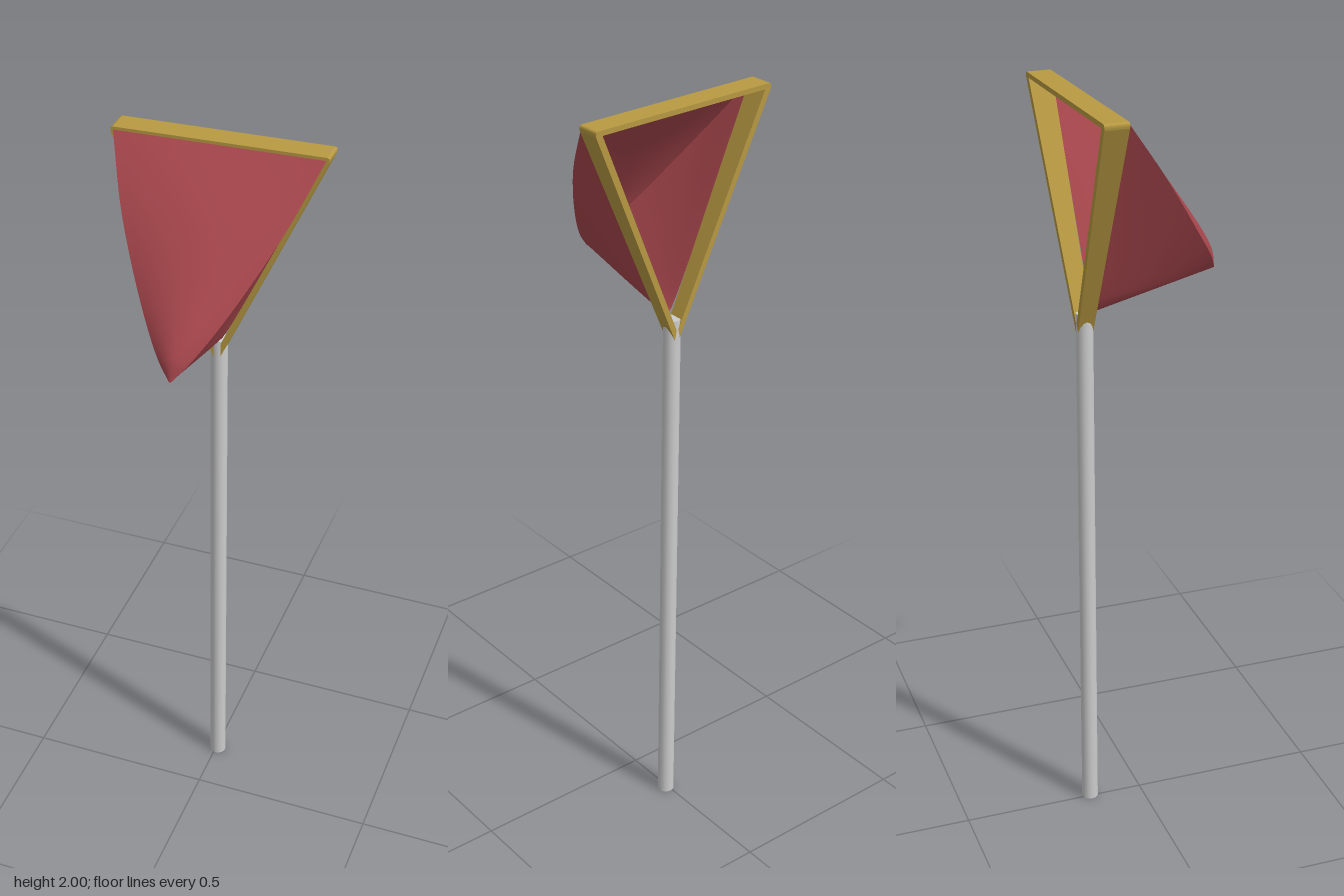
import * as THREE from 'three';

const mat = (color, side = THREE.FrontSide) => new THREE.MeshStandardMaterial({ color, side });

function addMesh(group, name, geometry, material) {
  const mesh = new THREE.Mesh(geometry, material);
  mesh.name = name;
  group.add(mesh);
  return mesh;
}

// Indexed grid surface from a function f(t, s), t in 0..1, s in -1..1
function patch(f, rows, cols) {
  const pos = [], idx = [];
  for (let i = 0; i <= rows; i++) {
    for (let j = 0; j <= cols; j++) pos.push(...f(i / rows, (j / cols) * 2 - 1));
  }
  for (let i = 0; i < rows; i++) {
    for (let j = 0; j < cols; j++) {
      const a = i * (cols + 1) + j, b = a + cols + 1;
      idx.push(a, b, a + 1, b, b + 1, a + 1);
    }
  }
  const g = new THREE.BufferGeometry();
  g.setAttribute('position', new THREE.Float32BufferAttribute(pos, 3));
  g.setIndex(idx);
  g.computeVertexNormals();
  return g;
}

const SKEW = 0.045; // the hoop is turned slightly about the pole

export function createModel() {
  const net = new THREE.Group();
  net.name = 'handNet';

  // Pole, leaning very slightly
  const pole = new THREE.CylinderGeometry(0.022, 0.022, 1.45, 16);
  pole.translate(0, 0.725, -0.145);
  const pp = pole.attributes.position;
  for (let i = 0; i < pp.count; i++) pp.setX(i, pp.getX(i) + 0.006 * (1 - pp.getY(i) / 1.45));
  addMesh(net, 'pole', pole, mat(0xcccccc));

  // Triangular hoop: a thin deep band, narrower in depth toward the pole
  const hoop = new THREE.Shape();
  hoop.moveTo(-0.003, 1.39);
  hoop.lineTo(0.003, 1.39);
  hoop.lineTo(0.268, 1.985);
  hoop.quadraticCurveTo(0.272, 2, 0.262, 2);
  hoop.lineTo(-0.262, 2);
  hoop.quadraticCurveTo(-0.272, 2, -0.268, 1.985);
  hoop.closePath();
  const hole = new THREE.Path();
  hole.moveTo(0, 1.42);
  hole.lineTo(-0.25, 1.987);
  hole.lineTo(0.25, 1.987);
  hole.closePath();
  hoop.holes.push(hole);
  const band = new THREE.ExtrudeGeometry(hoop, { depth: 1, bevelEnabled: false, curveSegments: 5 });
  const bp = band.attributes.position;
  for (let i = 0; i < bp.count; i++) {
    const k = (bp.getY(i) - 1.39) / 0.61;
    const back = -0.165 - 0.026 * k, front = -0.125 - 0.004 * k;
    bp.setZ(i, back + (front - back) * bp.getZ(i) - SKEW * bp.getX(i));
  }
  band.computeVertexNormals();
  addMesh(net, 'hoop', band, mat(0xb89a42));

  // Bag: two bowed ridges run from the upper corners to the tip, with a keel below
  const ridge = new THREE.CatmullRomCurve3([
    [0.262, 1.993, -0.127], [0.198, 1.84, -0.01], [0.105, 1.67, 0.11],
    [0.038, 1.572, 0.178], [0.002, 1.53, 0.2],
  ].map((p) => new THREE.Vector3(...p)));
  const keel = new THREE.LineCurve3(new THREE.Vector3(0, 1.45, -0.123), new THREE.Vector3(0, 1.53, 0.2));
  const skew = (x, t) => -SKEW * x * (1 - t);

  const topPanel = (t, s) => {
    const r = ridge.getPoint(t);
    const bulge = 0.022 * Math.sin(Math.PI * t) * (1 - s * s);
    const x = s * r.x;
    return [x, r.y + bulge, r.z + bulge * 0.7 + skew(x, t)];
  };
  const E = 0.06; // rounding of the keel
  const sidePanels = (t, s) => {
    const r = ridge.getPoint(t), k = keel.getPoint(t);
    const a = (Math.hypot(s, E) - E) / (Math.hypot(1, E) - E);
    const x = -s * r.x;
    return [x, k.y + (r.y - k.y) * a, k.z + (r.z - k.z) * a + skew(x, t)];
  };
  const cloth = mat(0xa8474d, THREE.DoubleSide);
  const bag = new THREE.Group();
  bag.name = 'bag';
  addMesh(bag, 'topPanel', patch(topPanel, 20, 16), cloth);
  addMesh(bag, 'sidePanels', patch(sidePanels, 20, 32), cloth);
  net.add(bag);

  return net;
}
